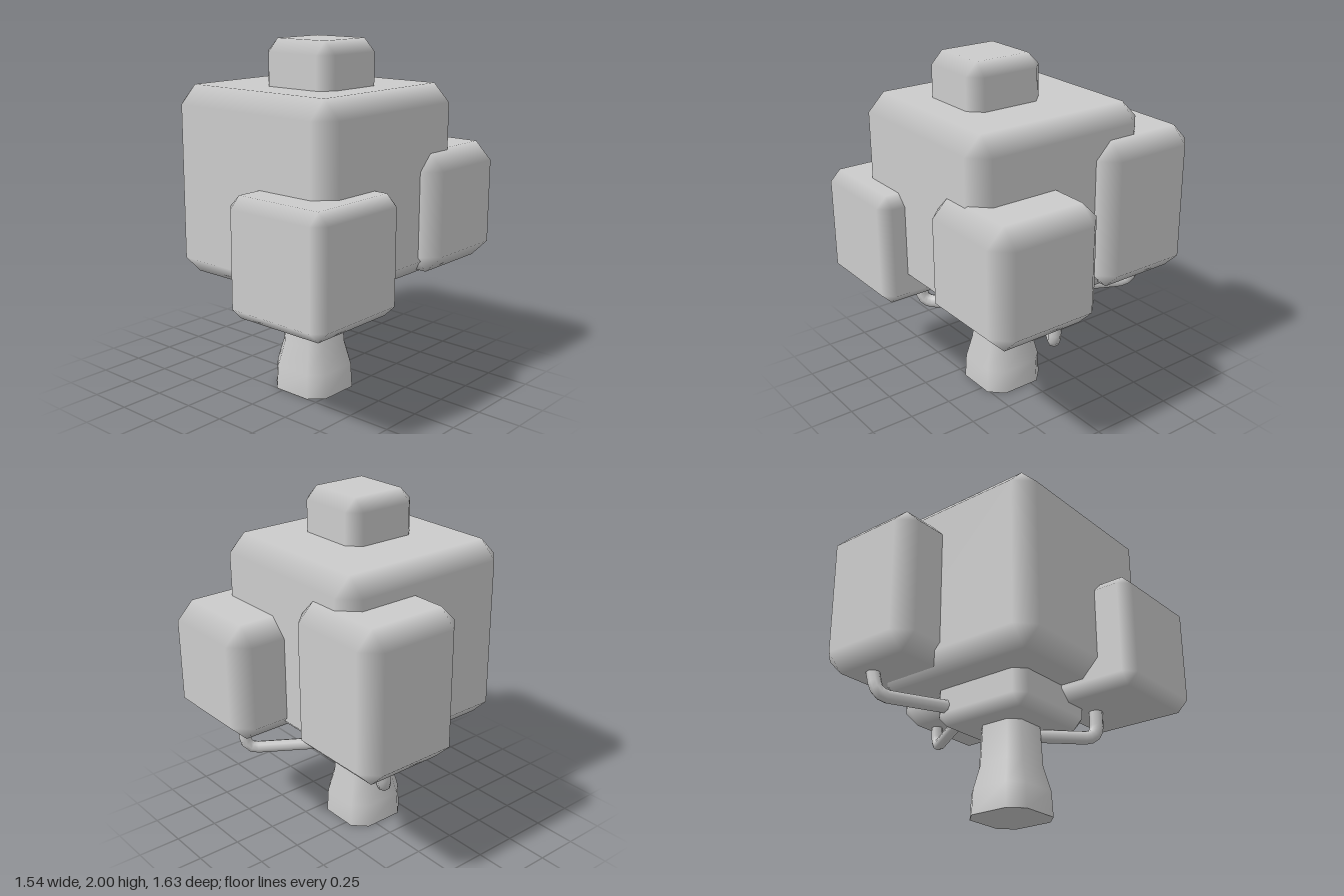
import * as THREE from 'three';
import { toCreasedNormals } from 'three/addons/utils/BufferGeometryUtils.js';

const material = new THREE.MeshStandardMaterial({ color: 0xcccccc });

// Box with single-step chamfers, shaded smoothly across each chamfer
function chamferBox(min, max, bevel) {
  const positions = [], normals = [], index = [];
  for (let axis = 0; axis < 3; axis++) {
    for (let bits = 0; bits < 8; bits++) {
      for (let k = 0; k < 3; k++) {
        const high = (bits >> k) & 1;
        const inset = k === axis ? 0 : bevel;
        positions.push(high ? max[k] - inset : min[k] + inset);
        normals.push(k === axis ? (high ? 1 : -1) : 0);
      }
    }
  }
  const quad = (p, q, r, s, keep) => {
    if (keep) index.push(p, q, r, p, r, s);
    else index.push(p, r, q, p, s, r);
  };
  for (let a = 0; a < 3; a++) {
    const b = (a + 1) % 3, c = (a + 2) % 3;
    const id = (axis, ha, hb, hc) => axis * 8 + (ha << a) + (hb << b) + (hc << c);
    for (const ha of [0, 1]) {
      // Flat side
      quad(id(a, ha, 0, 0), id(a, ha, 1, 0), id(a, ha, 1, 1), id(a, ha, 0, 1), ha === 1);
      // Chamfered edges
      for (const hb of [0, 1]) {
        quad(id(a, ha, hb, 0), id(b, ha, hb, 0), id(b, ha, hb, 1), id(a, ha, hb, 1), ha === hb);
      }
    }
  }
  // Corner triangles
  for (let bits = 0; bits < 8; bits++) {
    const highs = (bits & 1) + ((bits >> 1) & 1) + ((bits >> 2) & 1);
    if (highs % 2 === 1) index.push(bits, 8 + bits, 16 + bits);
    else index.push(bits, 16 + bits, 8 + bits);
  }
  const geometry = new THREE.BufferGeometry();
  geometry.setAttribute('position', new THREE.Float32BufferAttribute(positions, 3));
  geometry.setAttribute('normal', new THREE.Float32BufferAttribute(normals, 3));
  geometry.setIndex(index);
  return geometry;
}

// Square trunk with cut corners, flaring towards the foot
function trunkGeometry() {
  const rows = [[0.55, 0.137], [0.28, 0.15], [0.14, 0.185], [0, 0.192]];
  const geometry = new THREE.CylinderGeometry(1, 1, 1, 8, 3, false, Math.PI / 8);
  const p = geometry.attributes.position;
  const snap = (v) => (Math.abs(v) < 0.01 ? 0 : Math.sign(v) * (Math.abs(v) > 0.5 ? 1 : 0.6));
  for (let i = 0; i < p.count; i++) {
    const [y, half] = rows[Math.round((0.5 - p.getY(i)) * 3)];
    p.setXYZ(i, 0.07 + snap(p.getX(i)) * half, y, 0.06 + snap(p.getZ(i)) * half);
  }
  return toCreasedNormals(geometry, 0.9);
}

// Branch: runs outwards, then bends up into a leaf block
function branchGeometry(start, elbow, end, radius) {
  const [s, e, t] = [start, elbow, end].map((v) => new THREE.Vector3(...v));
  const before = e.clone().add(s.clone().sub(e).setLength(0.075));
  const after = e.clone().add(t.clone().sub(e).setLength(0.075));
  const path = new THREE.CurvePath();
  path.add(new THREE.LineCurve3(s, before));
  path.add(new THREE.QuadraticBezierCurve3(before, e, after));
  path.add(new THREE.LineCurve3(after, t));
  return new THREE.TubeGeometry(path, 24, radius, 8);
}

export function createModel() {
  const model = new THREE.Group();
  model.name = 'blockTree';
  const add = (name, geometry) => {
    const mesh = new THREE.Mesh(geometry, material);
    mesh.name = name;
    model.add(mesh);
  };

  add('trunk', trunkGeometry());

  // Leaf blocks: name, lowest corner, highest corner, chamfer
  const blocks = [
    ['mainFoliage', [-0.49, 0.7, -0.51], [0.63, 1.75, 0.61], 0.1],
    ['topFoliage', [-0.09, 1.6, -0.14], [0.38, 2, 0.32], 0.07],
    ['underFoliage', [-0.235, 0.505, -0.25], [0.375, 0.85, 0.37], 0.06],
    ['rightFoliage', [-0.775, 0.74, -0.61], [-0.13, 1.59, 0.03], 0.095],
    ['backFoliage', [0.04, 0.725, -0.815], [0.72, 1.4, -0.15], 0.1],
    ['frontFoliage', [0.125, 0.62, 0.17], [0.77, 1.265, 0.815], 0.062],
  ];
  for (const [name, min, max, bevel] of blocks) add(name, chamferBox(min, max, bevel));

  // Branches
  add('rightBranch', branchGeometry([0, 0.6, -0.05], [-0.58, 0.6, -0.33], [-0.58, 0.85, -0.4], 0.039));
  add('backBranch', branchGeometry([-0.1, 0.6, -0.1], [0.25, 0.6, -0.655], [0.25, 0.85, -0.655], 0.034));
  add('frontBranch', branchGeometry([0.14, 0.467, 0.13], [0.41, 0.467, 0.4], [0.41, 0.75, 0.4], 0.039));

  return model;
}
